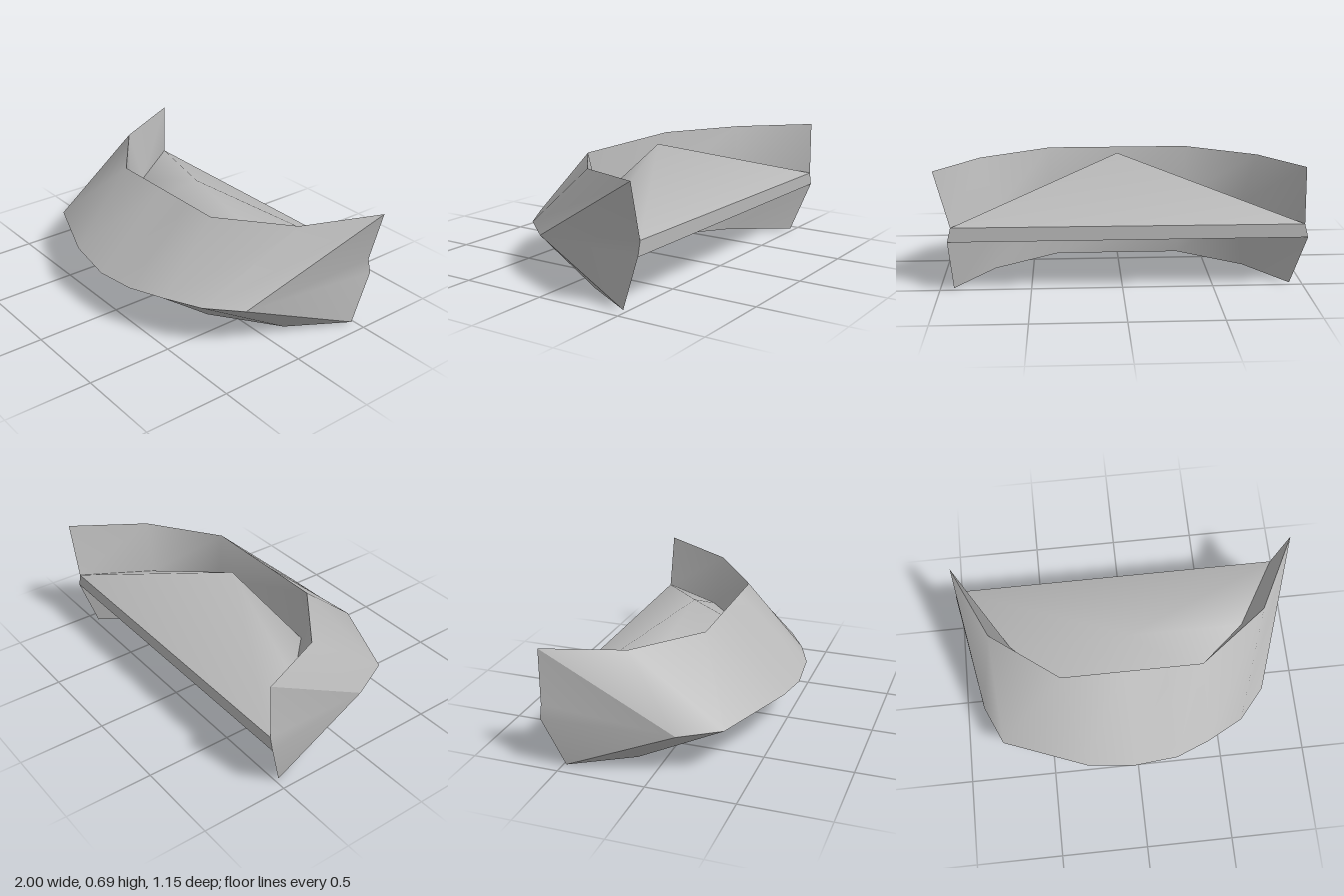
import * as THREE from 'three';

// Smooth surface from points and triangle indices
function surface(name, points, index, material) {
  const geometry = new THREE.BufferGeometry();
  geometry.setAttribute('position', new THREE.Float32BufferAttribute(points.flat(), 3));
  geometry.setIndex(index);
  geometry.computeVertexNormals();
  const mesh = new THREE.Mesh(geometry, material);
  mesh.name = name;
  return mesh;
}

// Strip between two rows running left to right, facing forward when upper is above lower
function band(name, upper, lower, material) {
  const n = upper.length, index = [];
  for (let i = 0; i < n - 1; i++) {
    index.push(n + i, n + i + 1, i + 1, n + i, i + 1, i);
  }
  return surface(name, [...upper, ...lower], index, material);
}

// Triangles around a hub point
function fan(name, hub, ring, closed, material) {
  const index = [], n = ring.length;
  for (let i = 0; i < (closed ? n : n - 1); i++) index.push(0, i + 1, ((i + 1) % n) + 1);
  return surface(name, [hub, ...ring], index, material);
}

export function createModel() {
  const model = new THREE.Group();
  model.name = 'curvedBumper';
  const grey = new THREE.MeshStandardMaterial({ color: 0xb8b8b8, side: THREE.DoubleSide });
  grey.name = 'plain grey';

  // Rows of the shell, from -x to +x
  const topRim = [[-0.975, 0.69, -0.58], [-0.785, 0.663, -0.16], [-0.4, 0.652, 0.13],
    [0.4, 0.652, 0.13], [0.785, 0.663, -0.16], [1, 0.69, -0.58]];
  const nose = [[-0.875, 0.25, 0.13], [-0.775, 0.275, 0.36], [-0.3, 0.293, 0.55], [-0.03, 0.258, 0.57],
    [0.22, 0.272, 0.55], [0.42, 0.275, 0.47], [0.62, 0.268, 0.36], [0.77, 0.252, 0.18]];
  const bottomRim = [[-0.93, 0.005, -0.48], [-0.72, 0, -0.15], [-0.36, 0, 0.11],
    [0.36, 0, 0.11], [0.72, 0, -0.15], [0.925, 0.005, -0.48]];
  const shelfTop = [[-0.98, 0.375, -0.58], [-0.69, 0.38, -0.19], [-0.4, 0.36, 0.1],
    [0.4, 0.36, 0.1], [0.69, 0.38, -0.19], [0.92, 0.38, -0.58]];
  const shelfUnder = [[-1, 0.3, -0.58], [-0.69, 0.3, -0.19], [-0.4, 0.3, 0.1],
    [0.4, 0.3, 0.1], [0.69, 0.3, -0.19], [0.94, 0.3, -0.58]];

  // Add two points along the straight front so a rim matches the nose row
  const widen = (row) => {
    const [, y, z] = row[2];
    return [...row.slice(0, 3), [-0.04, y, z], [0.2, y, z], ...row.slice(3)];
  };

  // Outer shell
  model.add(band('upperFront', widen(topRim), nose, grey));
  model.add(band('lowerFront', nose, widen(bottomRim), grey));

  // Inner walls
  model.add(band('upperInnerWall', shelfTop, topRim, grey));
  model.add(band('lowerInnerWall', bottomRim, shelfUnder, grey));

  // Shelf across the middle, raised to a peak, hollow underneath
  model.add(fan('shelfTop', [0.01, 0.663, -0.08], shelfTop, true, grey));
  model.add(fan('shelfUnderside', [0, 0.42, -0.05], [...shelfUnder].reverse(), true, grey));
  model.add(band('shelfBackEdge', [shelfUnder[0], shelfUnder[5]], [shelfTop[0], shelfTop[5]], grey));

  // End faces
  const end = (i) => [bottomRim[i], shelfUnder[i], shelfTop[i], topRim[i]];
  model.add(fan('leftEnd', nose[7], end(5), false, grey));
  model.add(fan('rightEnd', nose[0], end(0).reverse(), false, grey));

  return model;
}
